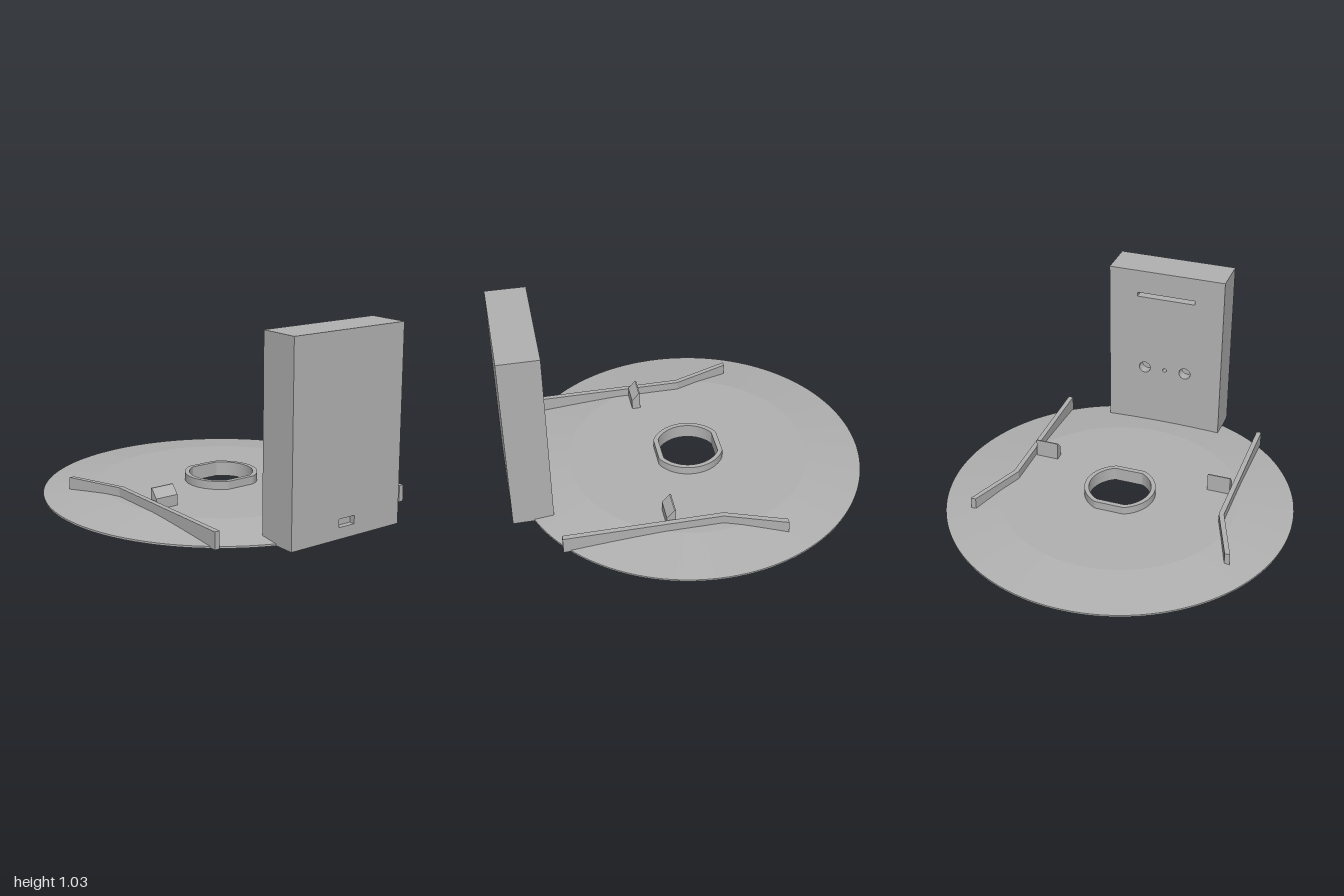
import * as THREE from 'three';
import { toCreasedNormals } from 'three/addons/utils/BufferGeometryUtils.js';

const CZ = -0.025; // disc centre on z

export function createModel() {
  const model = new THREE.Group();
  const grey = new THREE.MeshStandardMaterial({ color: 0xb2b2b2 });
  grey.name = 'light grey';

  const add = (name, geometry) => {
    const mesh = new THREE.Mesh(geometry, grey);
    mesh.name = name;
    model.add(mesh);
    return mesh;
  };
  const polygon = (pts) => new THREE.Shape(pts.map(([x, y]) => new THREE.Vector2(x, y)));
  const circle = (Type, x, y, r) => new Type().absarc(x, y, r, 0, Math.PI * 2, false);
  const rect = (x0, x1, y0, y1) =>
    new THREE.Path([[x0, y0], [x1, y0], [x1, y1], [x0, y1]].map(([x, y]) => new THREE.Vector2(x, y)));
  const extrude = (shape, depth, segments = 32) =>
    new THREE.ExtrudeGeometry(shape, { depth, bevelEnabled: false, curveSegments: segments });
  // Plan shape (x, z) raised from y0 to y1
  const slab = (shape, y0, y1, segments) =>
    extrude(shape, y1 - y0, segments).rotateX(Math.PI / 2).translate(0, y1, 0);

  // Closed section swept around the disc axis; each station is [radius, y, flat],
  // where flat limits the reach along z to give the opening its two flat sides
  const sweep = (section, n = 128) => {
    const pos = [];
    const index = [];
    section.forEach(([r, y, flat = r]) => {
      for (let i = 0; i < n; i++) {
        const a = (i / n) * Math.PI * 2;
        const z = THREE.MathUtils.clamp(r * Math.sin(a), -flat, flat);
        pos.push(r * Math.cos(a), y, CZ + z);
      }
    });
    for (let s = 0; s < section.length; s++) {
      const t = (s + 1) % section.length;
      for (let i = 0; i < n; i++) {
        const j = (i + 1) % n;
        index.push(s * n + i, s * n + j, t * n + i, s * n + j, t * n + j, t * n + i);
      }
    }
    const g = new THREE.BufferGeometry();
    g.setAttribute('position', new THREE.Float32BufferAttribute(pos, 3));
    g.setIndex(index);
    return toCreasedNormals(g, 0.09);
  };

  // Shallow dished disc
  add('baseDisc', sweep([
    [0.175, 0.045, 0.155], [0.67, 0.045], [0.975, 0.01], [0.175, 0.01, 0.155],
  ]));

  // Underside layer with foot recesses, and a keyhole recess with a cable channel
  const under = circle(THREE.Shape, 0, CZ, 0.975);
  for (const sx of [-1, 1]) {
    for (const sz of [-1, 1]) under.holes.push(circle(THREE.Path, sx * 0.393, CZ + sz * 0.393, 0.086));
  }
  const half = 0.018;
  const gap = Math.asin(half / 0.21);
  const keyhole = new THREE.Path();
  keyhole.absarc(0, CZ, 0.21, Math.PI / 2 + gap, Math.PI * 2.5 - gap, false);
  keyhole.lineTo(half, 0.84);
  keyhole.lineTo(-half, 0.84);
  keyhole.closePath();
  under.holes.push(keyhole);
  add('underside', toCreasedNormals(slab(under, 0, 0.01, 64), 0.3));

  // Raised collar around the opening
  add('collar', sweep([
    [0.175, 0.09, 0.155], [0.2, 0.09, 0.182], [0.2, 0.02, 0.182], [0.175, 0.02, 0.155],
  ]));

  // Bent guide rails and wedge-topped clips, mirrored
  for (const s of [1, -1]) {
    const side = s > 0 ? 'left' : 'right';
    const rail = polygon([
      [0.592, 0.765], [0.62, 0.765], [0.62, -0.085], [0.74, -0.408], [0.711, -0.408], [0.592, -0.09],
    ].map(([x, z]) => [s * x, z]));
    add(side + 'Rail', slab(rail, 0.002, 0.093));

    const clip = polygon([[-0.165, 0.03], [-0.165, 0.15], [-0.172, 0.15], [-0.213, 0.103], [-0.213, 0.03]]);
    add(side + 'Clip', extrude(clip, 0.13).rotateY(Math.PI / 2).translate(s > 0 ? 0.455 : -0.585, 0, 0));
  }

  // Upright housing: front plate with port, solid core, back plate with openings
  const W = 0.347;
  const H = 1.03;
  const outline = [[-W, 0], [W, 0], [W, H], [-W, H]];
  const front = polygon(outline);
  front.holes.push(rect(-0.05, 0.05, 0.06, 0.103));
  add('housingFront', extrude(front, 0.03).translate(0, 0, 0.97));

  add('housingCore', extrude(polygon(outline), 0.13).translate(0, 0, 0.84));

  const back = polygon([
    [-W, 0], [-half, 0], [-half, 0.01], [half, 0.01], [half, 0], [W, 0], [W, H], [-W, H],
  ]);
  back.holes.push(rect(-0.175, 0.175, 0.865, 0.89));
  for (const [x, r] of [[-0.125, 0.035], [0, 0.012], [0.125, 0.035]]) {
    back.holes.push(circle(THREE.Path, x, 0.395, r));
  }
  add('housingBack', toCreasedNormals(extrude(back, 0.06).translate(0, 0, 0.78), 0.4));

  return model;
}
